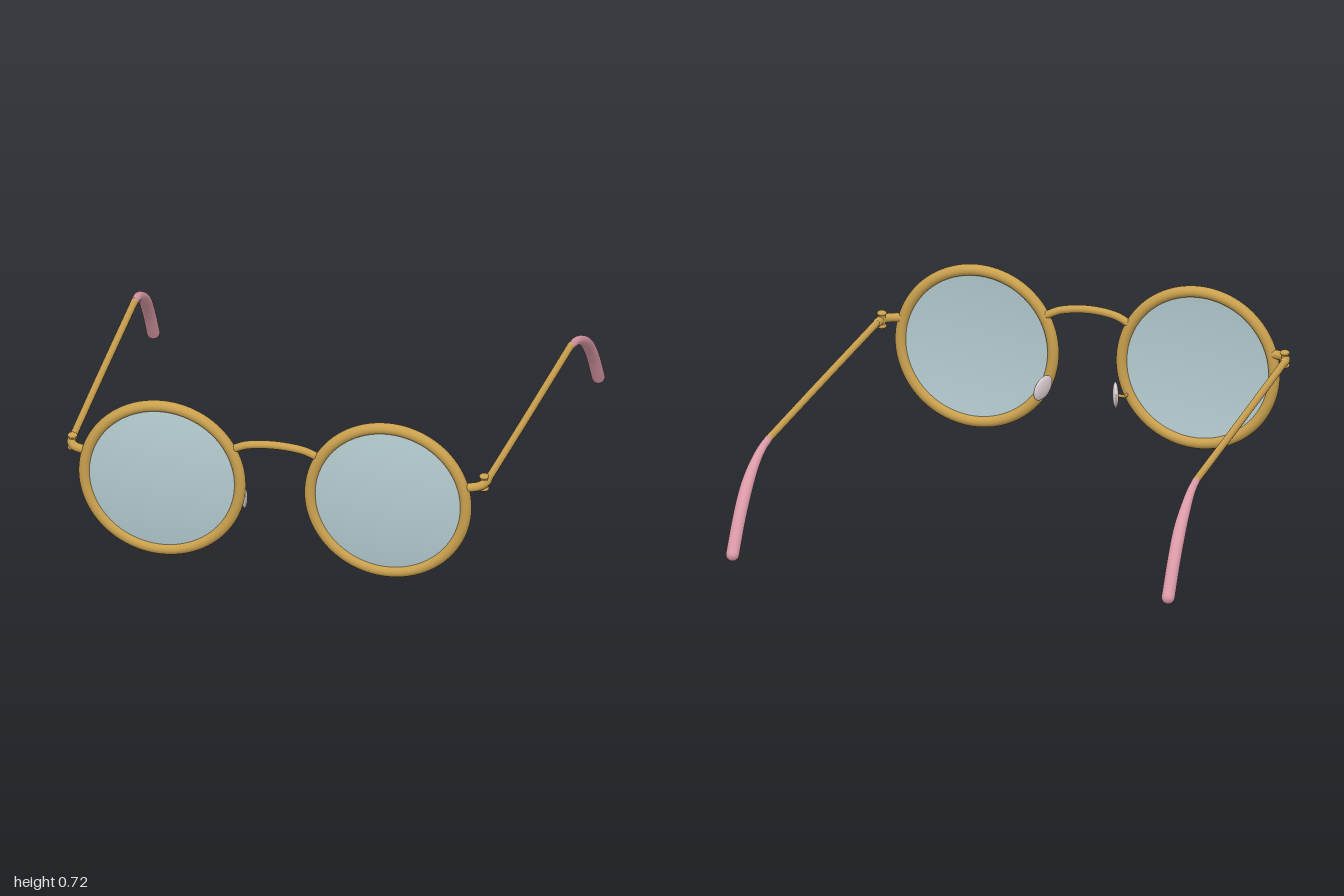
import * as THREE from 'three';

const material = (name, color, side = THREE.FrontSide) => {
  const m = new THREE.MeshStandardMaterial({ color, side });
  m.name = name;
  return m;
};

export function createModel() {
  const gold = material('gold metal', 0xc9a04e);
  const glass = material('pale blue lens', 0xb4cbcf);
  const pink = material('pink temple tip', 0xdb9aa8);
  const pearl = material('pearl nose pad', 0xdccfd2);

  const model = new THREE.Group();
  model.name = 'roundGlasses';

  const add = (parent, name, geometry, mat, x = 0, y = 0, z = 0) => {
    const mesh = new THREE.Mesh(geometry, mat);
    mesh.name = name;
    mesh.position.set(x, y, z);
    parent.add(mesh);
    return mesh;
  };

  // Round rod along points, radius may vary along its length, rounded ends
  const rod = (parent, name, points, radiusAt, mat, steps = 32, sides = 16) => {
    const curve = new THREE.CatmullRomCurve3(points.map((p) => new THREE.Vector3(...p)));
    const geometry = new THREE.TubeGeometry(curve, steps, 1, sides);
    const pos = geometry.attributes.position;
    const v = new THREE.Vector3();
    for (let i = 0; i <= steps; i++) {
      const centre = curve.getPointAt(i / steps);
      for (let j = 0; j <= sides; j++) {
        const k = i * (sides + 1) + j;
        v.fromBufferAttribute(pos, k).sub(centre).multiplyScalar(radiusAt(i / steps)).add(centre);
        pos.setXYZ(k, v.x, v.y, v.z);
      }
    }
    add(parent, name, geometry, mat);
    for (const t of [0, 1]) {
      const p = curve.getPointAt(t);
      add(parent, name + 'End', new THREE.SphereGeometry(radiusAt(t), sides, 12), mat, p.x, p.y, p.z);
    }
  };

  // Lens profile: bulging front, shallow hollow back
  const lensProfile = [];
  for (let i = 0; i <= 10; i++) {
    const r = 0.325 * (1 - i / 10);
    lensProfile.push(new THREE.Vector2(r, 0.031 - 0.27 * r * r));
  }
  const backProfile = [];
  for (let i = 0; i <= 10; i++) {
    const r = 0.325 * (i / 10);
    backProfile.push(new THREE.Vector2(r, 0.012 - 0.2 * r * r));
  }

  for (const s of [1, -1]) {
    const half = new THREE.Group();
    half.name = s > 0 ? 'leftHalf' : 'rightHalf';
    model.add(half);

    // Rim and lens
    add(half, 'rim', new THREE.TorusGeometry(0.331, 0.024, 20, 96), gold, s * 0.48, 0.365, 0.966);
    for (const [name, profile] of [['lensFront', lensProfile], ['lensBack', backProfile]]) {
      const lens = add(half, name, new THREE.LatheGeometry(profile, 72), glass, s * 0.48, 0.365, 0.968);
      lens.rotation.x = Math.PI / 2;
    }

    // End piece wrapping round the corner
    rod(half, 'endPiece', [
      [s * 0.795, 0.457, 0.962], [s * 0.83, 0.457, 0.957], [s * 0.862, 0.457, 0.938],
      [s * 0.879, 0.457, 0.905], [s * 0.883, 0.457, 0.87],
    ], () => 0.019, gold);

    // Hinge barrel with knobs
    const hinge = new THREE.Group();
    hinge.name = 'hinge';
    hinge.position.set(s * 0.875, 0.46, 0.905);
    half.add(hinge);
    add(hinge, 'hingePin', new THREE.CylinderGeometry(0.015, 0.015, 0.066, 20), gold);
    for (const y of [-0.028, 0.028]) {
      const knob = add(hinge, 'hingeKnob', new THREE.SphereGeometry(0.021, 20, 14), gold, 0, y, 0);
      knob.scale.y = 0.55;
    }

    // Temple arm and swelling, curved ear tip
    rod(half, 'templeArm', [
      [s * 0.884, 0.457, 0.87], [s * 0.906, 0.426, 0.2], [s * 0.928, 0.392, -0.53],
    ], () => 0.0155, gold);
    rod(half, 'templeTip', [
      [s * 0.928, 0.392, -0.52], [s * 0.933, 0.372, -0.61], [s * 0.938, 0.33, -0.7],
      [s * 0.941, 0.266, -0.79], [s * 0.944, 0.165, -0.88], [s * 0.946, 0.028, -0.972],
    ], (t) => 0.0165 + 0.0115 * THREE.MathUtils.smoothstep(t, 0, 0.6), pink, 48, 20);

    // Nose pad on its wire
    rod(half, 'padWire', [
      [s * 0.176, 0.222, 0.955], [s * 0.18, 0.225, 0.91], [s * 0.183, 0.238, 0.875],
      [s * 0.162, 0.248, 0.85],
    ], () => 0.007, gold, 24, 10);
    const pad = add(half, 'nosePad', new THREE.SphereGeometry(1, 28, 20), pearl, s * 0.158, 0.25, 0.847);
    pad.scale.set(0.013, 0.046, 0.066);
    pad.rotation.set(-0.35, -s * 0.33, 0, 'YXZ');
  }

  // Arched bridge
  rod(model, 'bridge', [
    [-0.178, 0.53, 0.962], [-0.12, 0.555, 0.967], [0, 0.569, 0.971],
    [0.12, 0.555, 0.967], [0.178, 0.53, 0.962],
  ], () => 0.017, gold, 40);

  return model;
}
